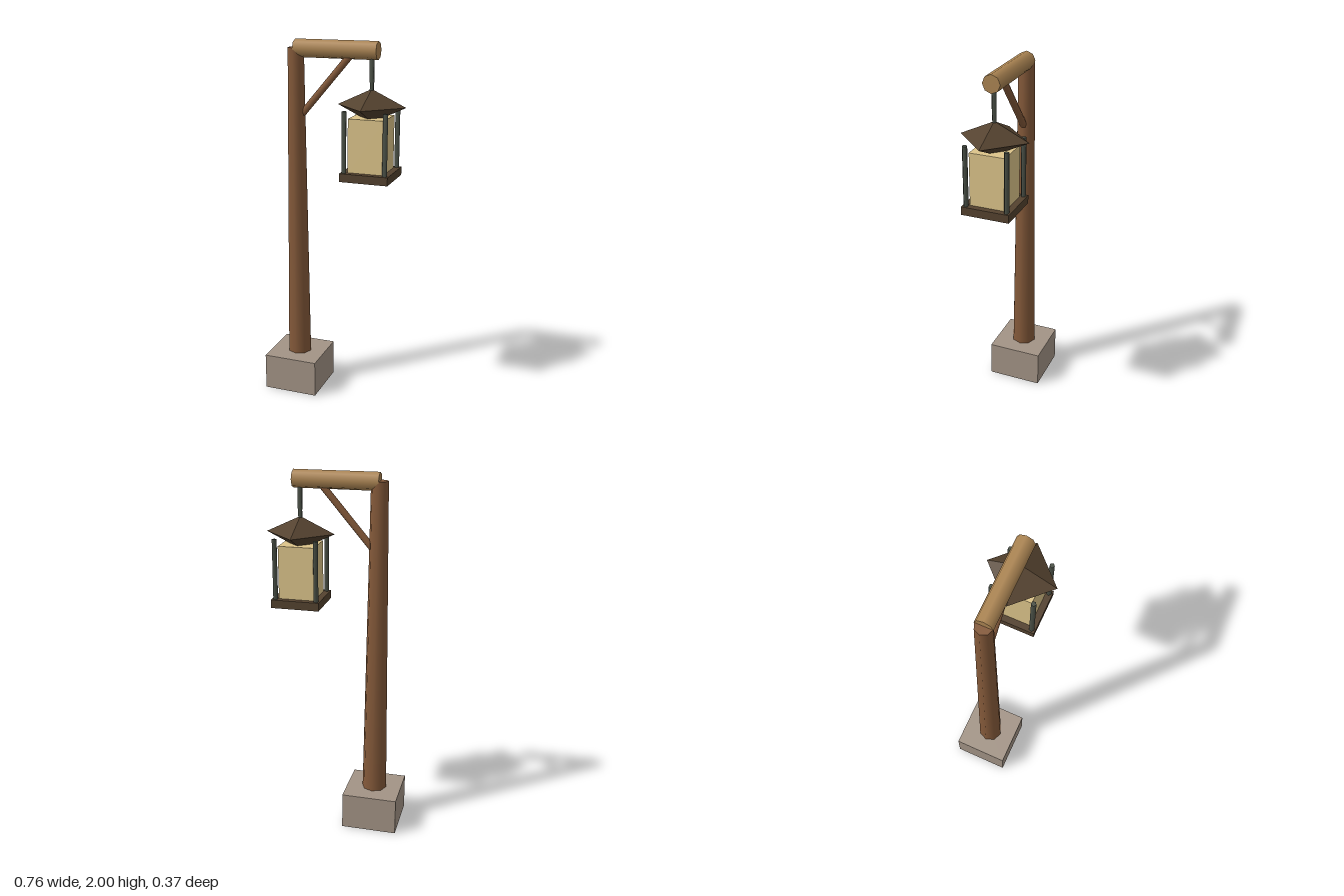
import * as THREE from 'three';

export function createModel() {
  const lamp = new THREE.Group();
  lamp.name = 'lampPost';

  const mat = (color, flatShading = false) => {
    const m = new THREE.MeshStandardMaterial({ flatShading });
    m.color.set(color);
    return m;
  };
  const stone = mat(0xa39486, true);
  const postWood = mat(0x855a3a);
  const beamWood = mat(0xac8553);
  const darkWood = mat(0x54422f, true);
  const iron = mat(0x4c5248);
  const glass = mat(0xdcc48a, true);

  const add = (parent, name, geometry, material, x, y, z) => {
    const mesh = new THREE.Mesh(geometry, material);
    mesh.name = name;
    mesh.position.set(x, y, z);
    parent.add(mesh);
    return mesh;
  };

  // Round bar running from point a to point b
  const bar = (parent, name, a, b, rStart, rEnd, sides, material) => {
    const from = new THREE.Vector3(...a);
    const to = new THREE.Vector3(...b);
    const dir = to.clone().sub(from);
    const mid = from.clone().add(to).multiplyScalar(0.5);
    const geometry = new THREE.CylinderGeometry(rEnd, rStart, dir.length(), sides);
    const mesh = add(parent, name, geometry, material, mid.x, mid.y, mid.z);
    mesh.quaternion.setFromUnitVectors(new THREE.Vector3(0, 1, 0), dir.normalize());
    return mesh;
  };

  // Stone footing, tapered post, arm and diagonal brace
  const postX = -0.23;
  add(lamp, 'footing', new THREE.BoxGeometry(0.307, 0.205, 0.307), stone, postX, 0.1025, 0);
  bar(lamp, 'post', [postX, 0.15, 0], [postX, 1.955, 0], 0.07, 0.046, 8, postWood);
  bar(lamp, 'arm', [-0.232, 1.952, 0], [0.228, 1.952, 0], 0.048, 0.048, 8, beamWood);
  bar(lamp, 'brace', [-0.195, 1.607, 0], [0.077, 1.925, 0], 0.019, 0.019, 8, postWood);

  // Hanging lantern
  const lantern = new THREE.Group();
  lantern.name = 'lantern';
  lantern.position.x = 0.194;
  lamp.add(lantern);

  bar(lantern, 'hangerRod', [0, 1.79, 0], [0, 1.93, 0], 0.013, 0.013, 6, iron);
  bar(lantern, 'hangerLink', [0, 1.735, 0], [0, 1.8, 0], 0.011, 0.011, 6, iron);

  // Roof: flattened double pyramid with its corners on the axes
  const roof = new THREE.OctahedronGeometry(1);
  roof.scale(0.187, 0.088, 0.187);
  add(lantern, 'roof', roof, darkWood, 0, 1.668, 0);

  add(lantern, 'glassBody', new THREE.BoxGeometry(0.194, 0.295, 0.194), glass, 0, 1.4625, 0);
  add(lantern, 'tray', new THREE.BoxGeometry(0.264, 0.045, 0.264), darkWood, 0, 1.302, 0);

  // Corner rods
  for (const sx of [-1, 1]) {
    for (const sz of [-1, 1]) {
      bar(lantern, 'cornerRod', [sx * 0.112, 1.31, sz * 0.112], [sx * 0.112, 1.65, sz * 0.112],
        0.014, 0.014, 5, iron);
    }
  }

  return lamp;
}
